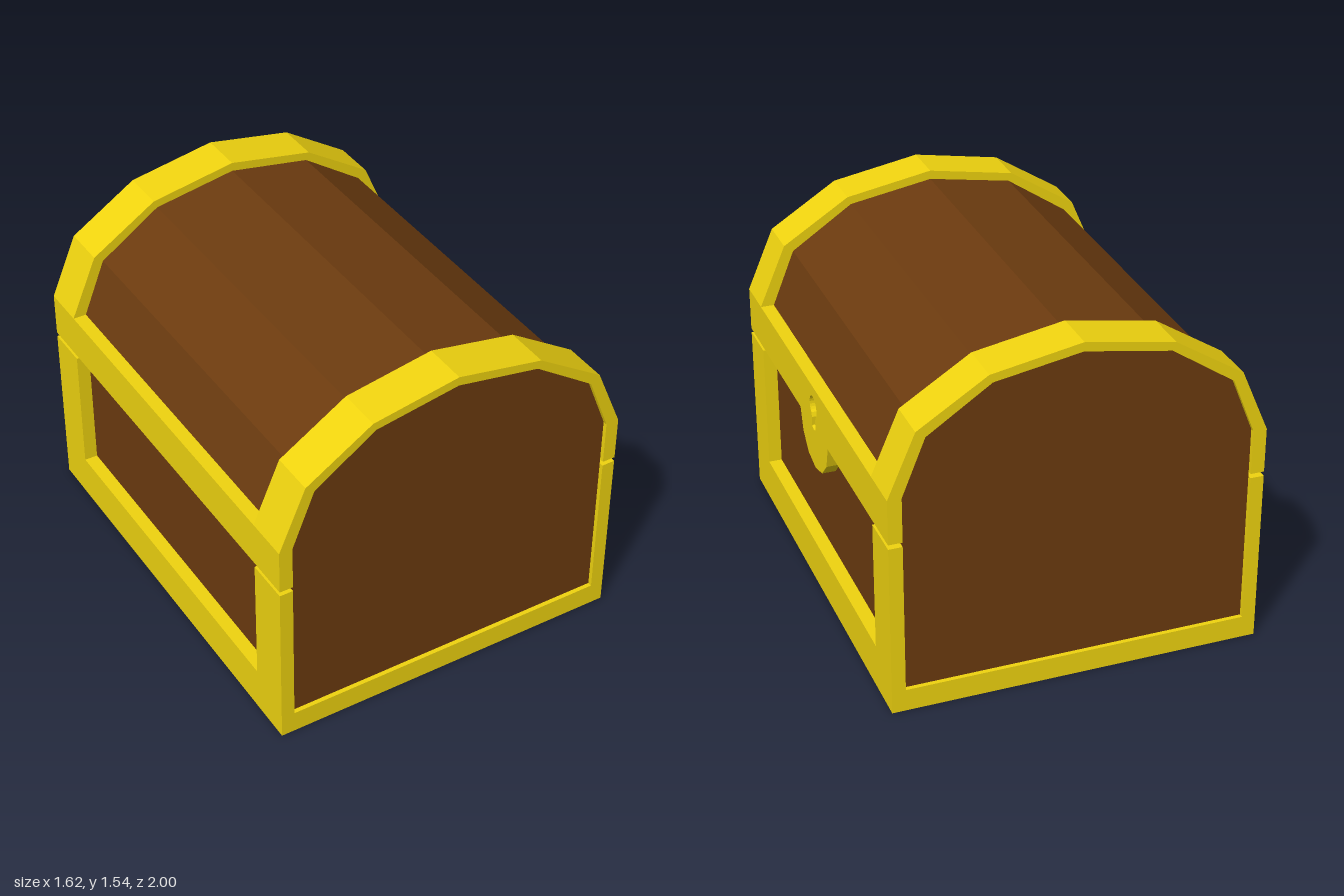
import * as THREE from 'three';

const gold = new THREE.MeshStandardMaterial({ color: 0xf0d40f, flatShading: true });
const wood = new THREE.MeshStandardMaterial({ color: 0x6c3b0f, flatShading: true });

// Right half of the lid arch, from the side up to the crown
const OUTER = [[0.81, 1], [0.69, 1.28], [0.39, 1.47], [0, 1.54]];
const INNER = [[0.75, 1], [0.65, 1.25], [0.375, 1.435], [0, 1.5]];

// Full arch from right to left
const arch = half => [...half, ...half.slice(0, -1).reverse().map(([x, y]) => [-x, y])];
const toShape = pts => new THREE.Shape(pts.map(([x, y]) => new THREE.Vector2(x, y)));

export function createModel() {
  const chest = new THREE.Group();
  chest.name = 'treasureChest';

  const add = (name, geometry, material) => {
    const mesh = new THREE.Mesh(geometry, material);
    mesh.name = name;
    chest.add(mesh);
    return mesh;
  };
  const box = (name, x0, x1, y0, y1, z0, z1) => {
    const g = new THREE.BoxGeometry(x1 - x0, y1 - y0, z1 - z0);
    g.translate((x0 + x1) / 2, (y0 + y1) / 2, (z0 + z1) / 2);
    return add(name, g, gold);
  };
  // Profile in x/y, extruded along z
  const extrudeZ = (name, shape, z0, z1, material) => {
    const g = new THREE.ExtrudeGeometry(shape, { depth: z1 - z0, bevelEnabled: false, curveSegments: 10 });
    g.translate(0, 0, z0);
    return add(name, g, material);
  };
  // Profile in z/y, extruded along x
  const extrudeX = (name, shape, x0, x1) => {
    const g = new THREE.ExtrudeGeometry(shape, { depth: x1 - x0, bevelEnabled: false, curveSegments: 10 });
    g.rotateY(Math.PI / 2);
    g.translate(x0, 0, 0);
    return add(name, g, gold);
  };

  // Wooden body with the rounded lid
  extrudeZ('woodenBody', toShape([[-0.75, 0.1], [0.75, 0.1], ...arch(INNER)]), -0.98, 0.98, wood);

  // End frames: a U around the base and an arch around the lid
  const baseFrame = toShape([
    [-0.81, 0], [0.81, 0], [0.81, 0.78], [0.75, 0.78],
    [0.75, 0.1], [-0.75, 0.1], [-0.75, 0.78], [-0.81, 0.78],
  ]);
  const lidFrame = toShape([
    [0.81, 0.8], ...arch(OUTER), [-0.81, 0.8],
    [-0.75, 0.8], ...arch(INNER).reverse(), [0.75, 0.8],
  ]);
  for (const [end, z0] of [['front', 0.8], ['back', -1]]) {
    extrudeZ(end + 'BaseFrame', baseFrame, z0, z0 + 0.2, gold);
    extrudeZ(end + 'LidFrame', lidFrame, z0, z0 + 0.2, gold);
  }

  // Bottom plate and side rails
  box('bottomPlate', -0.81, 0.81, 0, 0.1, -0.8, 0.8);
  box('leftBaseRail', 0.75, 0.81, 0.1, 0.2, -0.8, 0.8);
  box('rightBaseRail', -0.81, -0.75, 0.1, 0.2, -0.8, 0.8);
  box('rightLidRail', -0.81, -0.75, 0.8, 1, -0.8, 0.8);

  // Lid rail with the lock flap hanging from it
  const lockRail = () => toShape([
    [-0.8, 0.8], [-0.2, 0.8], [-0.17, 0.7], [-0.1, 0.63], [0, 0.605],
    [0.1, 0.63], [0.17, 0.7], [0.2, 0.8], [0.8, 0.8], [0.8, 1], [-0.8, 1],
  ]);
  extrudeX('lockRailBacking', lockRail(), 0.75, 0.78);

  // Keyhole sunk into the outer layer
  const keyhole = new THREE.Path();
  keyhole.absarc(0, 0.9, 0.05, -Math.PI * 0.3, Math.PI * 1.3, false);
  keyhole.lineTo(-0.022, 0.84);
  keyhole.lineTo(-0.025, 0.8);
  keyhole.quadraticCurveTo(0, 0.78, 0.025, 0.8);
  keyhole.lineTo(0.022, 0.84);
  keyhole.closePath();
  const lockFace = lockRail();
  lockFace.holes.push(keyhole);
  extrudeX('lockRailFace', lockFace, 0.78, 0.81);

  return chest;
}
